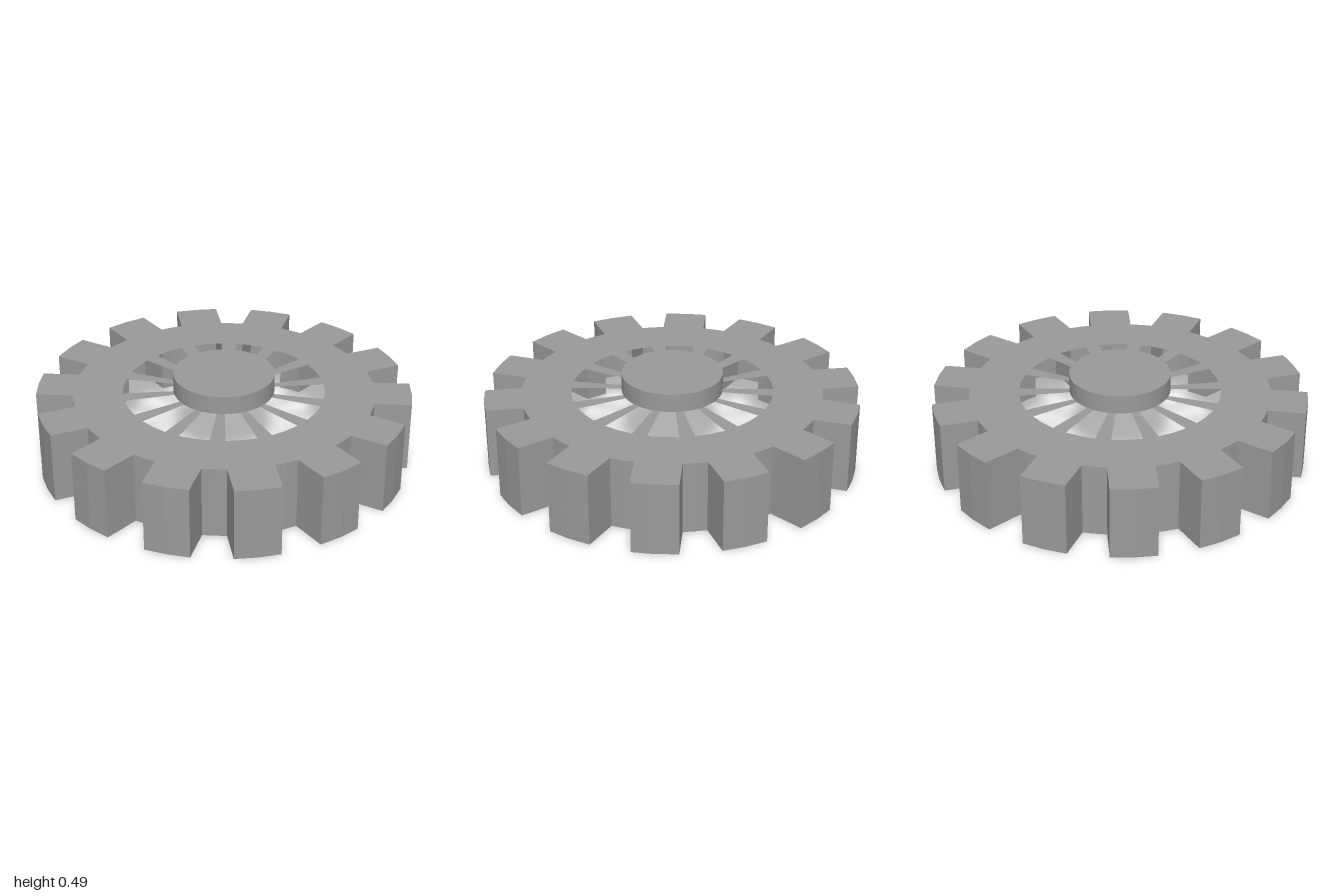
import * as THREE from 'three';

const TEETH = 14;
const STEP = (Math.PI * 2) / TEETH;
const PHASE = Math.PI / 2 - STEP / 6; // direction of the first tooth
const TIP_R = 1, ROOT_R = 0.805, WINDOW_R = 0.54, HUB_R = 0.27;
const TOOTH_HALF_WIDTH = 0.118;
const SPOKE_HALF_ANGLE = STEP / 6;
const DECK_Y = 0.39, HUB_TOP = 0.49;

const polar = (r, a) => new THREE.Vector2(r * Math.cos(a), r * Math.sin(a));

// Counter-clockwise gear outline with parallel-sided teeth
function gearOutline() {
  const tip = Math.asin(TOOTH_HALF_WIDTH / TIP_R);
  const root = Math.asin(TOOTH_HALF_WIDTH / ROOT_R);
  const points = [];
  for (let i = 0; i < TEETH; i++) {
    const a = PHASE + i * STEP;
    points.push(polar(ROOT_R, a - root));
    for (const t of [-1, 0, 1]) points.push(polar(TIP_R, a + t * tip));
    points.push(polar(ROOT_R, a + root), polar(ROOT_R, a + STEP / 2));
  }
  return points;
}

// Round opening whose corners coincide with the spoke ends
function windowOutline() {
  const points = [];
  const open = STEP / 2 - SPOKE_HALF_ANGLE;
  for (let i = 0; i < TEETH; i++) {
    for (const t of [-1, 0, 1]) points.push(polar(WINDOW_R, PHASE + i * STEP + t * open));
  }
  return points.reverse();
}

// Open vertical wall following an outline, one flat panel per edge
function wallGeometry(outline, y0, y1) {
  const v = [];
  outline.forEach((p, i) => {
    const q = outline[(i + 1) % outline.length];
    const a = [p.x, y0, -p.y], b = [q.x, y0, -q.y];
    const c = [q.x, y1, -q.y], d = [p.x, y1, -p.y];
    v.push(...a, ...b, ...c, ...a, ...c, ...d);
  });
  const g = new THREE.BufferGeometry();
  g.setAttribute('position', new THREE.Float32BufferAttribute(v, 3));
  g.computeVertexNormals();
  return g;
}

// Flat horizontal sheet facing up
function sheetGeometry(shape, y) {
  return new THREE.ShapeGeometry(shape).rotateX(-Math.PI / 2).translate(0, y, 0);
}

export function createModel() {
  const group = new THREE.Group();
  group.name = 'gearWheel';
  const material = new THREE.MeshStandardMaterial({ color: 0x9a9a9a, side: THREE.DoubleSide });
  const add = (name, geometry, parent = group) => {
    const mesh = new THREE.Mesh(geometry, material);
    mesh.name = name;
    parent.add(mesh);
    return mesh;
  };

  // Toothed skirt, open underneath
  const outline = gearOutline();
  add('toothedWall', wallGeometry(outline, 0, DECK_Y));

  // Top ring with the round opening for the spokes
  const ring = new THREE.Shape(outline);
  ring.holes.push(new THREE.Path(windowOutline()));
  add('topRing', sheetGeometry(ring, DECK_Y));

  // Tapered spokes, midway between the teeth
  const spokes = new THREE.Group();
  spokes.name = 'spokes';
  group.add(spokes);
  const spoke = sheetGeometry(new THREE.Shape([
    polar(HUB_R, -SPOKE_HALF_ANGLE), polar(WINDOW_R, -SPOKE_HALF_ANGLE),
    polar(WINDOW_R, SPOKE_HALF_ANGLE), polar(HUB_R, SPOKE_HALF_ANGLE),
  ]), DECK_Y);
  for (let i = 0; i < TEETH; i++) {
    add('spoke', spoke, spokes).rotation.y = PHASE + (i + 0.5) * STEP;
  }

  // Raised hub: a shallow cap open underneath
  const hub = new THREE.Group();
  hub.name = 'hub';
  group.add(hub);
  add('hubWall', new THREE.CylinderGeometry(HUB_R, HUB_R, HUB_TOP - DECK_Y, 64, 1, true)
    .translate(0, (HUB_TOP + DECK_Y) / 2, 0), hub);
  add('hubTop', new THREE.CircleGeometry(HUB_R, 64).rotateX(-Math.PI / 2).translate(0, HUB_TOP, 0), hub);

  return group;
}
